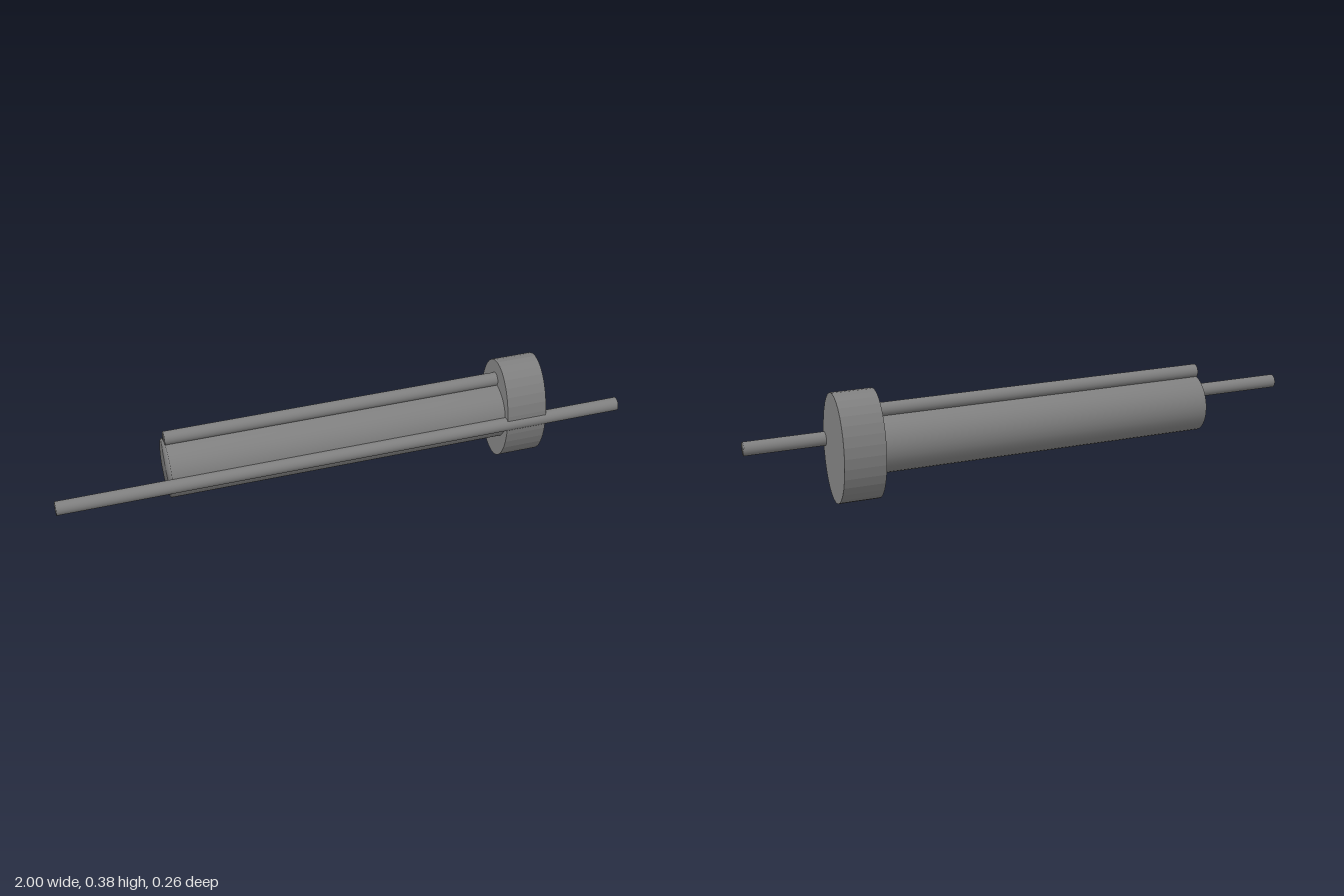
import * as THREE from 'three';
import { mergeVertices } from 'three/addons/utils/BufferGeometryUtils.js';

// Cylinder lying along x; softEnds shares normals between the side and the caps
function bar(radius, length, sides, softEnds) {
  let geometry = new THREE.CylinderGeometry(radius, radius, length, sides);
  geometry.rotateZ(-Math.PI / 2);
  if (softEnds) {
    geometry.deleteAttribute('normal');
    geometry.deleteAttribute('uv');
    geometry = mergeVertices(geometry, 1e-5);
    geometry.computeVertexNormals();
  }
  return geometry;
}

export function createModel() {
  const model = new THREE.Group();
  model.name = 'model';
  const grey = new THREE.MeshStandardMaterial({ color: 0x808080 });
  grey.name = 'grey';

  // All parts share one slightly turned axis
  const assembly = new THREE.Group();
  assembly.name = 'assembly';
  assembly.rotation.y = -0.009;
  model.add(assembly);

  const add = (name, geometry, x, y, z) => {
    const mesh = new THREE.Mesh(geometry, grey);
    mesh.name = name;
    mesh.position.set(x, y, z);
    assembly.add(mesh);
  };

  // Main barrel
  add('barrel', bar(0.102, 1.19, 32, true), -0.012, 0.19, -0.011);

  // Thin rod along the top of the barrel
  add('topRod', bar(0.0238, 1.19, 24, true), -0.012, 0.307, -0.019);

  // Long rod along the front, reaching past both ends
  add('longRod', bar(0.0238, 1.999, 24, true), 0, 0.191, 0.098);

  // Oval end flange
  const flange = bar(1, 0.143, 32, false);
  flange.scale(1, 0.19, 0.124);
  const facets = flange.toNonIndexed();
  facets.computeVertexNormals();
  add('flange', facets, 0.652, 0.19, -0.011);

  return model;
}
